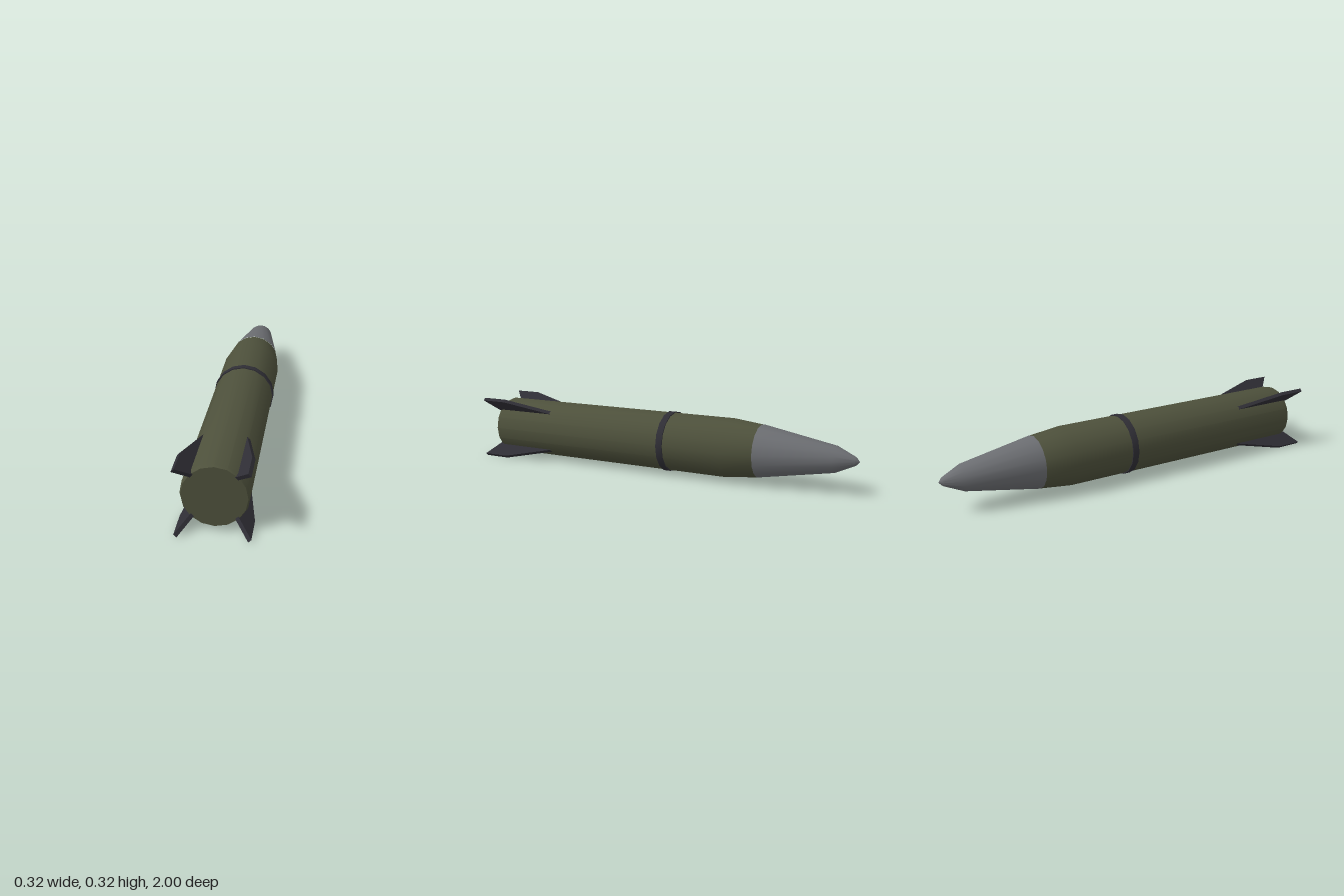
import * as THREE from 'three';
import { toCreasedNormals } from 'three/addons/utils/BufferGeometryUtils.js';

const SIDES = 16;
const AXIS_Y = 0.158;

function material(name, color) {
  const m = new THREE.MeshStandardMaterial({ color });
  m.name = name;
  return m;
}

// Revolve [radius, z] points (tail to nose) around the z axis
function revolve(profile) {
  const points = profile.map(([r, z]) => new THREE.Vector2(r, -z));
  const geometry = new THREE.LatheGeometry(points, SIDES).rotateX(-Math.PI / 2);
  return toCreasedNormals(geometry, 0.5);
}

export function createModel() {
  const olive = material('olive paint', 0x4d503b);
  const grey = material('nose grey', 0x6b6d71);
  const dark = material('dark metal', 0x2f2e35);

  const model = new THREE.Group();
  model.name = 'rocket';
  const rocket = new THREE.Group();
  rocket.name = 'rocketAssembly';
  rocket.position.y = AXIS_Y;
  model.add(rocket);

  const add = (name, geometry, mat) => {
    const mesh = new THREE.Mesh(geometry, mat);
    mesh.name = name;
    rocket.add(mesh);
    return mesh;
  };

  // Hull: flat tail with a small bevel, straight tube, tapered shoulder
  add('body', revolve([
    [0, 0.93], [0.138, 0.93], [0.145, 0.91], [0.145, -0.37], [0.127, -0.53],
  ]), olive);

  // Nose cone with a blunt tip
  add('noseCone', revolve([
    [0.128, -0.53], [0.063, -0.89], [0.02, -0.982], [0, -1],
  ]), grey);

  // Raised band around the middle
  add('band', revolve([
    [0.14, -0.042], [0.15, -0.042], [0.15, -0.075], [0.14, -0.075],
  ]), dark);

  // Four swept fins on the diagonals, drawn as radius against z
  const thickness = 0.018;
  const outline = new THREE.Shape([
    [0.128, 0.55], [0.2145, 0.865], [0.2145, 1], [0.128, 0.93],
  ].map(([r, z]) => new THREE.Vector2(r, z)));
  const finGeometry = new THREE.ExtrudeGeometry(outline, { depth: thickness, bevelEnabled: false })
    .translate(0, 0, -thickness / 2)
    .rotateX(Math.PI / 2);
  for (let i = 0; i < 4; i++) {
    add('fin' + (i + 1), finGeometry, dark).rotation.z = Math.PI / 4 + i * Math.PI / 2;
  }

  return model;
}
